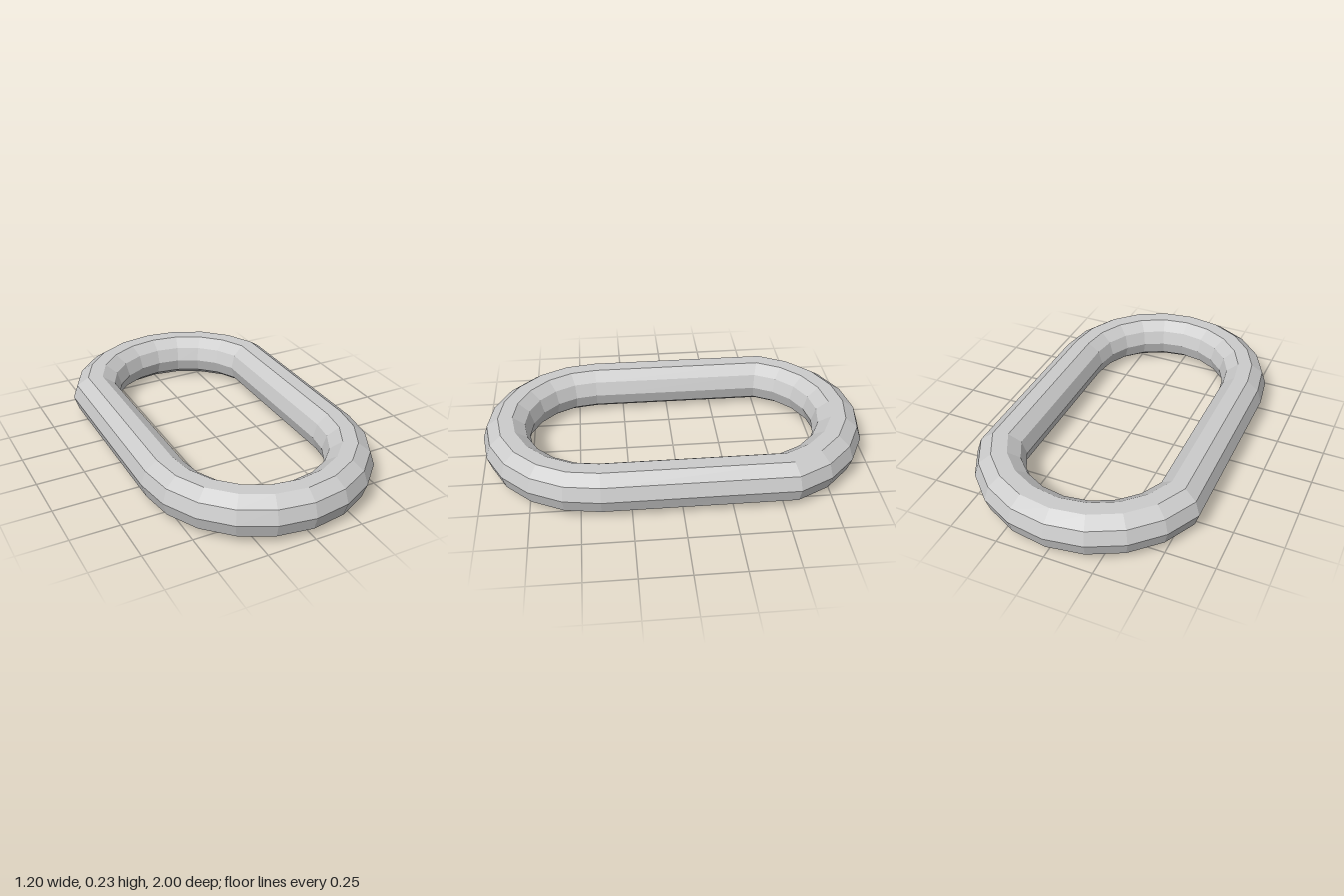
import * as THREE from 'three';

const SIDES = 10;          // sides of the bar's cross-section
const BAR = 0.122;         // bar radius
const BEND = 0.478;        // centreline radius of the rounded ends
const STEP = Math.PI / 10; // angle between rings in a bend

// One ring of the bar, at angle a around the loop
function ring(a, back) {
  const points = [];
  for (let j = 0; j < SIDES; j++) {
    const b = (j / SIDES) * Math.PI * 2;
    const r = BEND + BAR * Math.cos(b);
    let x = r * Math.cos(a);
    let z = r * Math.sin(a) + (back ? -0.4 : 0.4);
    // The back bend has fewer rings, stretched to meet the straight sides
    if (back) {
      x *= 1.05;
      z = -1 + (z + 1) * 1.03;
    }
    points.push([x, 0.12 + BAR * Math.sin(b), z]);
  }
  return points;
}

function loopGeometry() {
  const rings = [];
  for (let i = 0; i <= 10; i++) rings.push(ring(i * STEP, false)); // front bend
  for (let i = 11; i <= 19; i++) rings.push(ring(i * STEP, true)); // back bend

  const positions = rings.flat(2);
  const index = [];
  const n = rings.length;
  for (let i = 0; i < n; i++) {
    for (let j = 0; j < SIDES; j++) {
      const i2 = (i + 1) % n, j2 = (j + 1) % SIDES;
      const a = i * SIDES + j, b = i * SIDES + j2;
      const c = i2 * SIDES + j2, d = i2 * SIDES + j;
      index.push(a, b, d, b, c, d);
    }
  }
  const geometry = new THREE.BufferGeometry();
  geometry.setAttribute('position', new THREE.Float32BufferAttribute(positions, 3));
  geometry.setIndex(index);
  const flat = geometry.toNonIndexed();
  flat.computeVertexNormals();
  return flat;
}

export function createModel() {
  const group = new THREE.Group();
  group.name = 'chainLink';
  const material = new THREE.MeshStandardMaterial({ color: 0xcccccc, flatShading: true });
  const link = new THREE.Mesh(loopGeometry(), material);
  link.name = 'linkLoop';
  group.add(link);
  return group;
}
